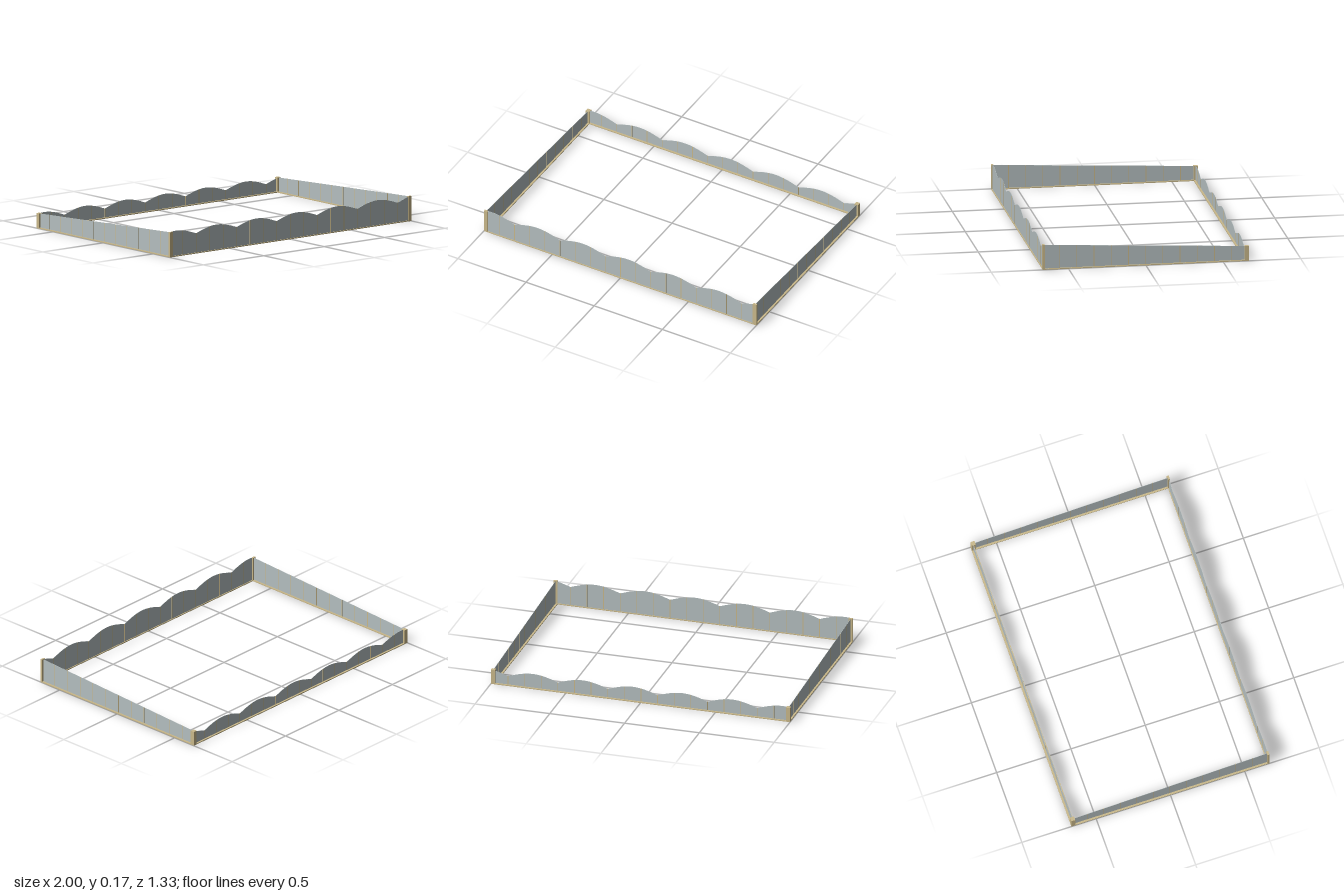
import * as THREE from 'three';

const panelMat = new THREE.MeshStandardMaterial({ name: 'grey panel', color: 0xb4bebf });
const woodMat = new THREE.MeshStandardMaterial({ name: 'tan wood', color: 0xc9b88a });

const HALF_X = 1, HALF_Z = 0.667, POST = 0.027, RAIL_H = 0.006, STUD = 0.0045, BAY = 1 / 9;
const FRONT_T = 0.0135; // the front wall is half as deep as the others

function box(name, w, h, d, x, y, z) {
  const mesh = new THREE.Mesh(new THREE.BoxGeometry(w, h, d), woodMat);
  mesh.name = name;
  mesh.position.set(x, y, z);
  return mesh;
}

// A wall along local x: thin sheet with a shaped top, base rail and narrow studs
function wall(name, u0, u1, depth, height, steps) {
  const group = new THREE.Group();
  group.name = name;

  const shape = new THREE.Shape();
  shape.moveTo(u0, RAIL_H);
  shape.lineTo(u1, RAIL_H);
  for (let i = steps; i >= 0; i--) {
    const u = u0 + ((u1 - u0) * i) / steps;
    shape.lineTo(u, height(u));
  }
  const sheet = new THREE.ExtrudeGeometry(shape, { depth: 0.002, bevelEnabled: false });
  sheet.translate(0, 0, -0.001);
  const panel = new THREE.Mesh(sheet, panelMat);
  panel.name = 'panel';
  group.add(panel);

  group.add(box('baseRail', u1 - u0, RAIL_H, depth, (u0 + u1) / 2, RAIL_H / 2, 0));

  for (let k = -8; k <= 8; k++) {
    const u = k * BAY;
    if (u < u0 + 0.05 || u > u1 - 0.05) continue;
    const h = Math.min(height(u - STUD / 2), height(u + STUD / 2));
    group.add(box('stud', STUD, h, 0.0035, u, h / 2, 0));
  }
  return group;
}

// Scalloped top: arches that meet in cusps every third of a unit
const scallop = (low) => (x) => low + 0.037 * Math.abs(Math.sin(Math.PI * 3 * (x + 0.778)));
// Straight top falling from front to back
const slope = (z) => 0.128 + (z / HALF_Z) * 0.033;

export function createModel() {
  const model = new THREE.Group();
  model.name = 'enclosure';

  const inner = HALF_X - POST;
  const front = wall('frontWall', -inner, inner, FRONT_T, scallop(0.13), 140);
  front.position.z = HALF_Z - FRONT_T / 2;
  const back = wall('backWall', -inner, inner, POST, scallop(0.063), 140);
  back.position.z = -HALF_Z + POST / 2;
  model.add(front, back);

  for (const side of [-1, 1]) {
    const x = side * (HALF_X - POST / 2);
    const sideWall = wall(side > 0 ? 'leftWall' : 'rightWall',
      -HALF_Z + POST, HALF_Z - FRONT_T, POST, slope, 1);
    sideWall.rotation.y = -Math.PI / 2;
    sideWall.position.x = x;
    model.add(sideWall);

    // Corner posts
    model.add(box('frontPost', POST, 0.163, FRONT_T, x, 0.0815, HALF_Z - FRONT_T / 2));
    model.add(box('backPost', POST, 0.098, POST, x, 0.049, -HALF_Z + POST / 2));
  }
  return model;
}
